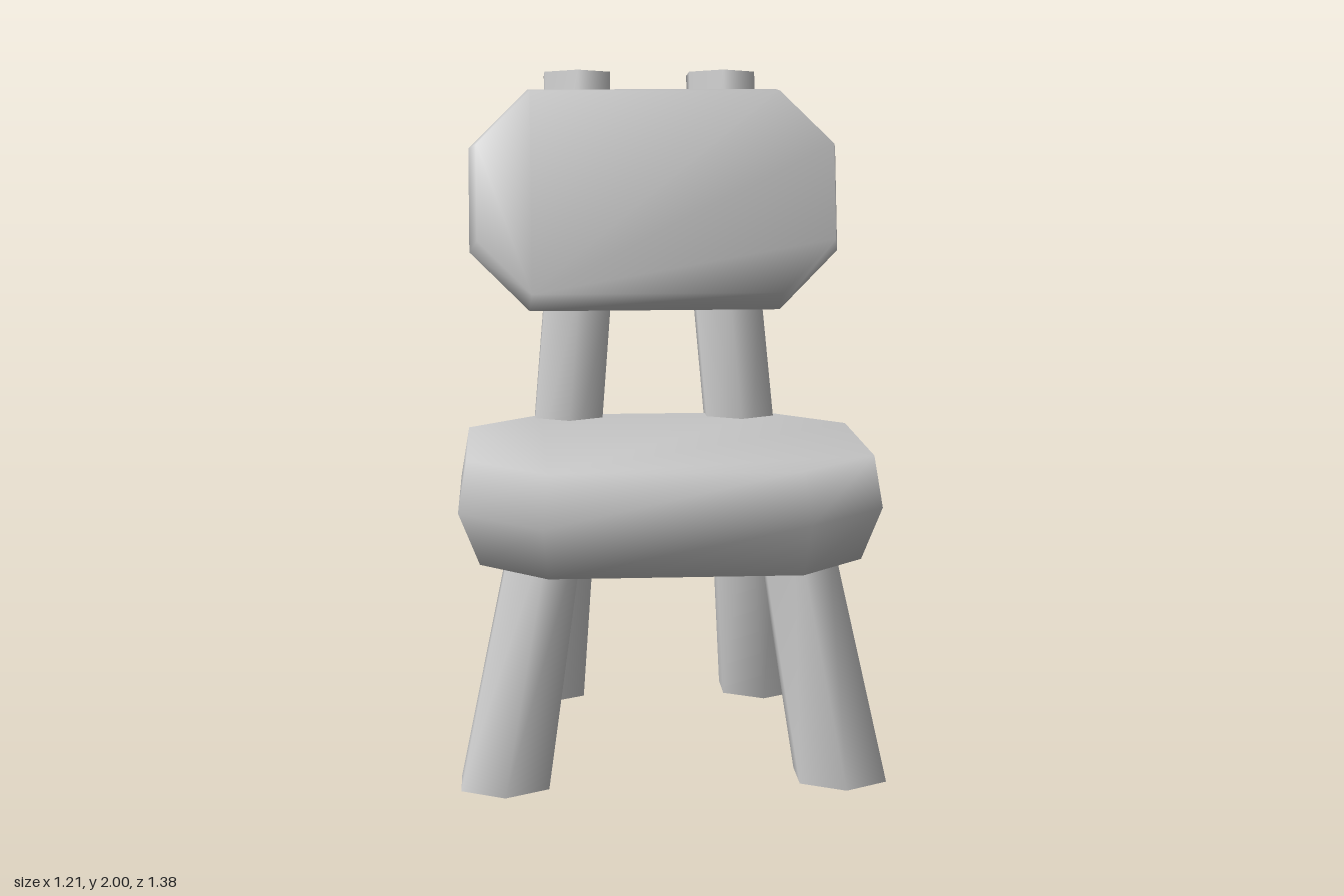
import * as THREE from 'three';

const material = new THREE.MeshStandardMaterial({ color: 0xcccccc });

// Skin a stack of equal-length rings, listed bottom to top, each counter-clockwise from above.
// With sharpCaps the end faces get their own vertices; otherwise they blend into the sides.
function loft(rings, sharpCaps) {
  const n = rings[0].length;
  const last = rings.length - 1;
  const points = rings.flat();
  const index = [];
  for (let r = 0; r < last; r++) {
    for (let i = 0; i < n; i++) {
      const a = r * n + i, b = r * n + (i + 1) % n;
      index.push(a, b, b + n, a, b + n, a + n);
    }
  }
  let bottom = 0, top = last * n;
  if (sharpCaps) {
    bottom = points.length;
    top = bottom + n;
    points.push(...rings[0], ...rings[last]);
  }
  for (let i = 1; i < n - 1; i++) {
    index.push(bottom, bottom + i + 1, bottom + i);
    index.push(top, top + i, top + i + 1);
  }
  const geometry = new THREE.BufferGeometry().setFromPoints(points);
  geometry.setIndex(index);
  geometry.computeVertexNormals();
  return geometry;
}

// Rectangle with cut corners, lying flat at height y
function octagon(y, hx, hz, cut, cz = 0) {
  const x = hx - cut, z = hz - cut;
  return [[-x, hz], [x, hz], [hx, z], [hx, -z], [x, -hz], [-x, -hz], [-hx, -z], [-hx, z]]
    .map(([px, pz]) => new THREE.Vector3(px, y, pz + cz));
}

// Six-sided leg section with points toward front and back; tilt raises the front point
function hexagon([x, y, z, r, tilt = 0]) {
  return Array.from({ length: 6 }, (_, i) => {
    const a = i * Math.PI / 3;
    return new THREE.Vector3(x + r * Math.sin(a), y + tilt * Math.cos(a), z + r * Math.cos(a));
  });
}

export function createModel() {
  const group = new THREE.Group();
  const add = (name, geometry) => {
    const mesh = new THREE.Mesh(geometry, material);
    mesh.name = name;
    group.add(mesh);
    return mesh;
  };

  // Chunky cushion-like seat
  add('seat', loft([
    octagon(0.62, 0.545, 0.445, 0.19, 0.195),
    octagon(0.77, 0.605, 0.52, 0.235, 0.17),
    octagon(0.92, 0.58, 0.505, 0.225, 0.165),
  ], false));

  // Backrest: the same kind of block, stood up and leaning back
  const backrest = add('backrest', loft([
    octagon(-0.15, 0.51, 0.292, 0.165),
    octagon(0, 0.575, 0.348, 0.185),
    octagon(0.15, 0.55, 0.313, 0.165),
  ], false));
  backrest.rotation.x = 1.348;
  backrest.position.set(0, 1.6, -0.325);

  // Legs, mirrored left and right; the back pair bends and carries the backrest
  for (const [side, s] of [['Left', 1], ['Right', -1]]) {
    add('front' + side + 'Leg', loft([
      hexagon([s * 0.48, 0, 0.517, 0.143]),
      hexagon([s * 0.345, 0.75, 0.4, 0.115]),
    ], true));
    add('back' + side + 'Leg', loft([
      hexagon([s * 0.35, 0, -0.402, 0.143]),
      hexagon([s * 0.29, 0.68, -0.3, 0.122]),
      hexagon([s * 0.235, 1.32, -0.39, 0.12]),
      hexagon([s * 0.23, 1.985, -0.57, 0.12, 0.015]),
    ], true));
  }
  return group;
}
